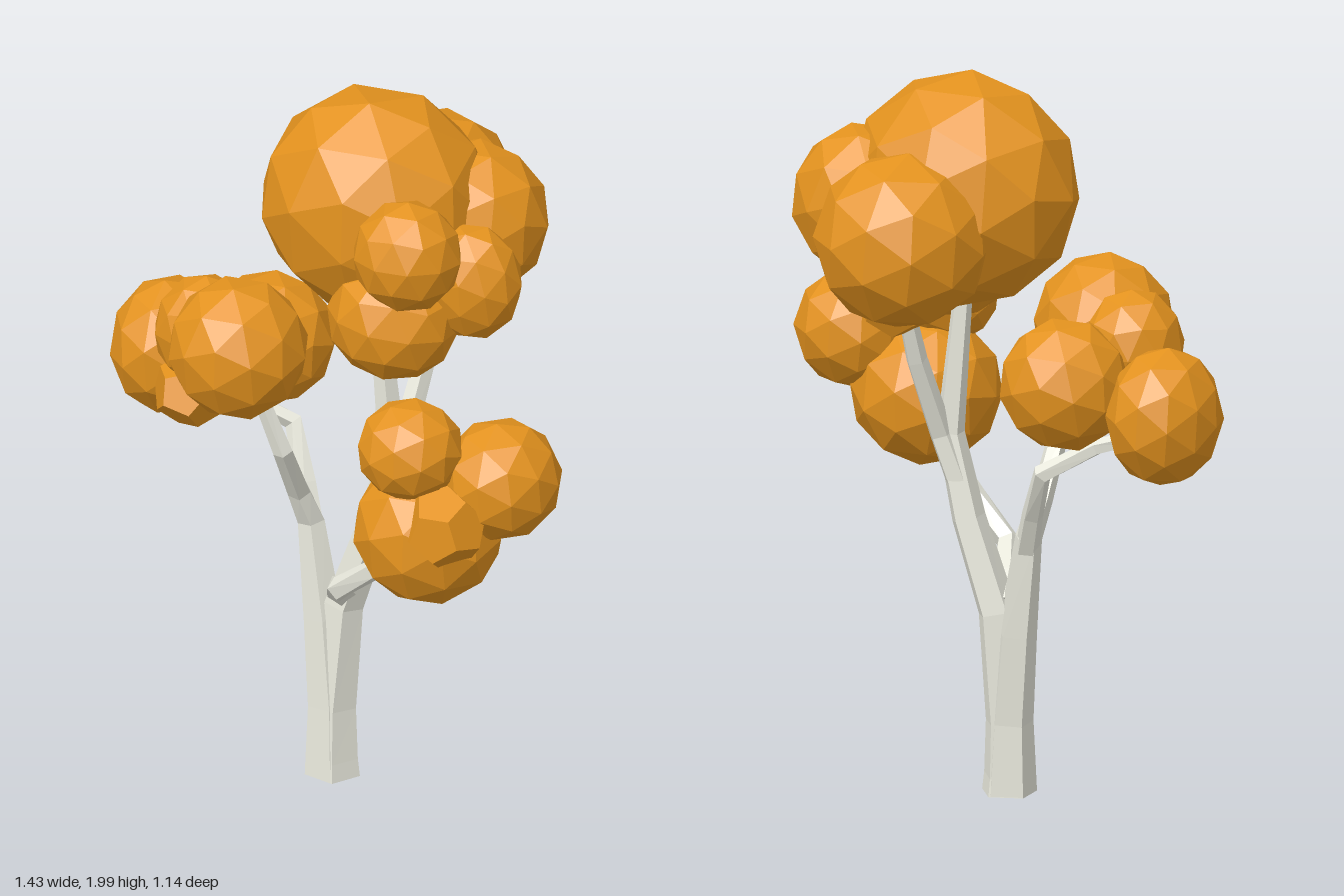
import * as THREE from 'three';

const bark = new THREE.MeshStandardMaterial({ color: 0xe8e8dc, flatShading: true });
const leaf = new THREE.MeshStandardMaterial({ color: 0xe3921e, flatShading: true });

// Faceted limb swept through [x, y, z, radius] stations, capped at both ends
function limb(stations, sides = 5) {
  const centres = stations.map(([x, y, z]) => new THREE.Vector3(x, y, z));
  const last = centres.length - 1;
  const position = [], index = [];
  centres.forEach((c, i) => {
    const dir = i === 0 && c.y === 0
      ? new THREE.Vector3(0, 1, 0)
      : centres[Math.min(i + 1, last)].clone().sub(centres[Math.max(i - 1, 0)]).normalize();
    const turn = new THREE.Quaternion().setFromUnitVectors(new THREE.Vector3(0, 1, 0), dir);
    for (let k = 0; k < sides; k++) {
      const a = (k / sides) * Math.PI * 2 + 0.3, r = stations[i][3];
      const p = new THREE.Vector3(Math.sin(a) * r, 0, Math.cos(a) * r).applyQuaternion(turn).add(c);
      position.push(p.x, p.y, p.z);
    }
  });
  for (let i = 0; i < last; i++) {
    for (let k = 0; k < sides; k++) {
      const a = i * sides + k, b = i * sides + (k + 1) % sides;
      index.push(a, b, b + sides, a, b + sides, a + sides);
    }
  }
  const top = last * sides;
  for (let k = 1; k < sides - 1; k++) index.push(0, k + 1, k, top, top + k, top + k + 1);
  const g = new THREE.BufferGeometry();
  g.setAttribute('position', new THREE.Float32BufferAttribute(position, 3));
  g.setIndex(index);
  const flat = g.toNonIndexed();
  flat.computeVertexNormals();
  return flat;
}

export function createModel() {
  const tree = new THREE.Group();
  tree.name = 'tree';

  const limbs = {
    mainTrunk: [[-0.05, 0, -0.025, 0.076], [-0.05, 0.05, -0.025, 0.07], [-0.05, 0.2, -0.03, 0.063],
      [-0.025, 0.5, -0.04, 0.055], [0.06, 0.75, -0.04, 0.048], [0.115, 0.98, -0.035, 0.04],
      [0.075, 1.42, -0.03, 0.025]],
    leftTrunk: [[-0.055, 0, -0.025, 0.074], [-0.06, 0.2, -0.03, 0.062], [-0.085, 0.45, -0.045, 0.055],
      [-0.125, 0.72, -0.06, 0.038], [-0.145, 0.82, -0.02, 0.032], [-0.15, 0.99, 0.09, 0.028],
      [-0.21, 1.16, 0.11, 0.022]],
    leftBranch: [[-0.12, 0.68, -0.06, 0.034], [-0.16, 0.8, -0.11, 0.03], [-0.22, 0.94, -0.18, 0.027],
      [-0.36, 1.02, -0.14, 0.023], [-0.48, 1.06, -0.13, 0.02]],
    backBranch: [[0.07, 0.8, -0.04, 0.036], [0.13, 0.98, -0.06, 0.034], [0.165, 1.2, -0.14, 0.03],
      [0.18, 1.4, -0.2, 0.023]],
    frontBranch: [[-0.03, 0.52, -0.05, 0.045], [-0.01, 0.58, 0.03, 0.037], [0.03, 0.64, 0.15, 0.032],
      [0.15, 0.74, 0.2, 0.029], [0.32, 0.9, 0.28, 0.022]],
  };
  for (const [name, stations] of Object.entries(limbs)) {
    const mesh = new THREE.Mesh(limb(stations), bark);
    mesh.name = name;
    tree.add(mesh);
  }

  // Foliage clumps: centre, then radii
  const foliage = {
    crownFoliage: [
      [0.045, 1.68, -0.1, 0.32, 0.32, 0.28], [0.115, 1.59, -0.34, 0.24, 0.24, 0.245],
      [0.29, 1.635, -0.18, 0.21, 0.215, 0.19], [0.23, 1.67, 0.165, 0.15, 0.155, 0.14],
      [0.16, 1.435, 0.085, 0.18, 0.17, 0.155], [0.36, 1.55, 0.02, 0.14, 0.165, 0.115],
      [0.18, 1.39, -0.21, 0.115, 0.11, 0.12]],
    leftFoliage: [
      [-0.27, 1.285, 0.11, 0.19, 0.195, 0.19], [-0.56, 1.13, -0.14, 0.155, 0.19, 0.18],
      [-0.28, 1.19, -0.16, 0.18, 0.18, 0.175], [-0.4, 1.27, 0.01, 0.14, 0.155, 0.14],
      [-0.43, 1.1, 0.04, 0.105, 0.1, 0.11]],
    rightFoliage: [
      [0.36, 0.97, 0.35, 0.205, 0.205, 0.21], [0.55, 1.13, 0.31, 0.165, 0.165, 0.17],
      [0.33, 1.225, 0.41, 0.145, 0.14, 0.14], [0.45, 1.045, 0.475, 0.115, 0.115, 0.112]],
  };
  for (const [name, clumps] of Object.entries(foliage)) {
    const group = new THREE.Group();
    group.name = name;
    clumps.forEach(([x, y, z, rx, ry, rz], i) => {
      // Larger clumps are rounder, small ones are coarse
      const g = rx > 0.125 ? new THREE.IcosahedronGeometry(1, 1) : new THREE.DodecahedronGeometry(1, 0);
      g.rotateX(i * 1.3 + 0.2).rotateY(i * 2.1);
      const mesh = new THREE.Mesh(g.scale(rx, ry, rz), leaf);
      mesh.position.set(x, y, z);
      mesh.name = 'leafClump';
      group.add(mesh);
    });
    tree.add(group);
  }
  return tree;
}
